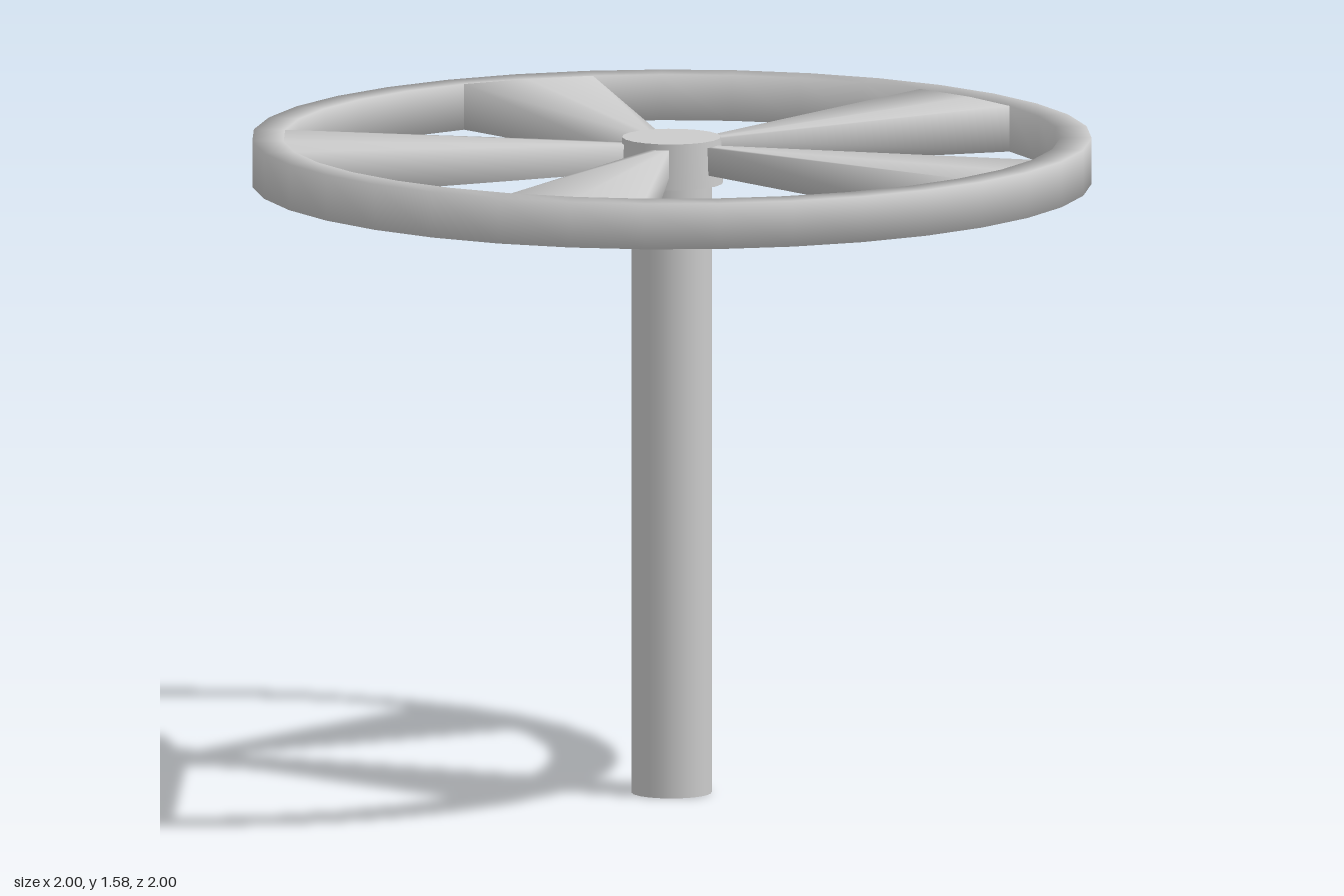
import * as THREE from 'three';
import { mergeVertices } from 'three/addons/utils/BufferGeometryUtils.js';

const SEGMENTS = 35;             // seven rim segments per spoke sector
const STEP = (Math.PI * 2) / SEGMENTS;
const BOTTOM = 1.47, TOP = 1.58; // wheel height range
const RIM_INNER = 0.925;

// Weld a geometry and shade it smoothly all over
function smooth(geometry) {
  geometry.deleteAttribute('normal');
  geometry.deleteAttribute('uv');
  const welded = mergeVertices(geometry, 1e-4);
  welded.computeVertexNormals();
  return welded;
}

// Wedge pointing to -z: loft from a wide section at the rim to a narrow one at the hub
function spokeGeometry() {
  const outer = [], inner = [];
  const ring = [[-1, TOP, 1.565], [0, TOP, 1.565], [1, TOP, 1.565],
                [1, BOTTOM, 1.5], [0, BOTTOM, 1.5], [-1, BOTTOM, 1.5]];
  for (const [side, yOuter, yInner] of ring) {
    const a = side * STEP;
    outer.push(RIM_INNER * Math.sin(a), yOuter, -RIM_INNER * Math.cos(a));
    inner.push(side * 0.02, yInner, -0.1);
  }
  const index = [];
  for (let i = 0; i < 6; i++) {
    const j = (i + 1) % 6;
    index.push(i, i + 6, j, j, i + 6, j + 6);
  }
  const geometry = new THREE.BufferGeometry();
  geometry.setAttribute('position', new THREE.Float32BufferAttribute([...outer, ...inner], 3));
  geometry.setIndex(index);
  geometry.computeVertexNormals();
  return geometry;
}

export function createModel() {
  const model = new THREE.Group();
  model.name = 'wheelOnPost';
  const material = new THREE.MeshStandardMaterial({ color: 0xcccccc });
  const add = (name, geometry) => {
    const mesh = new THREE.Mesh(geometry, material);
    mesh.name = name;
    model.add(mesh);
    return mesh;
  };

  // Rim: rectangular section with softened shading
  const section = [[RIM_INNER, BOTTOM], [1, BOTTOM], [1, TOP], [RIM_INNER, TOP], [RIM_INNER, BOTTOM]]
    .map(([r, y]) => new THREE.Vector2(r, y));
  add('rim', smooth(new THREE.LatheGeometry(section, SEGMENTS, Math.PI)));

  // Five spokes flaring out to the rim
  const spoke = spokeGeometry();
  for (let i = 0; i < 5; i++) {
    add('spoke' + (i + 1), spoke).rotation.y = (i * Math.PI * 2) / 5;
  }

  // Hub
  const hub = add('hub', new THREE.CylinderGeometry(0.118, 0.123, TOP - BOTTOM, 20));
  hub.position.y = (TOP + BOTTOM) / 2;

  // Post standing on the ground
  const post = add('post', new THREE.CylinderGeometry(0.096, 0.096, 1.5, 20));
  post.position.y = 0.75;

  return model;
}
